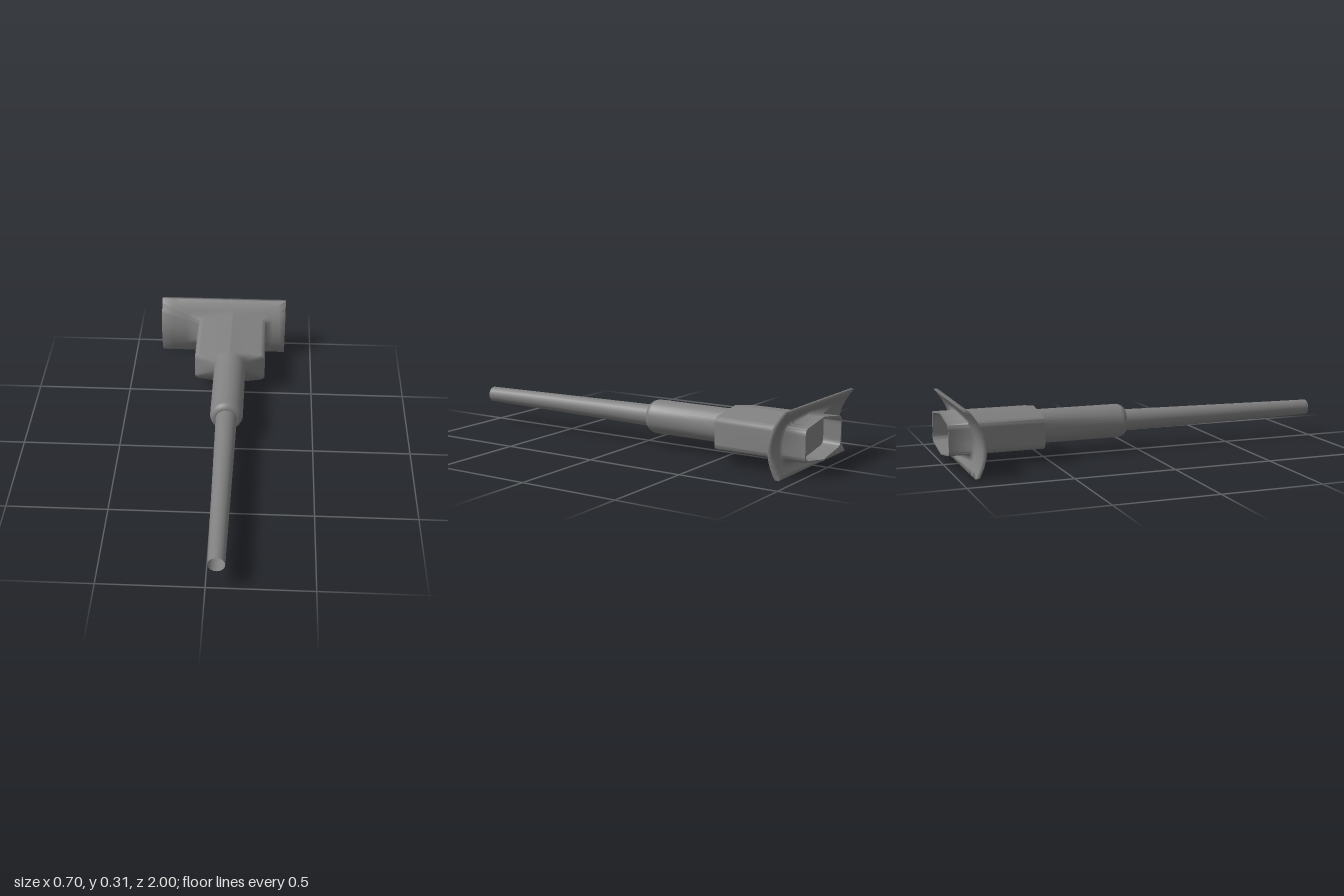
import * as THREE from 'three';

const CX = 0.05, CY = 0.145; // axis of the nozzle
const solid = new THREE.MeshStandardMaterial({ color: 0x808080 });
const thin = new THREE.MeshStandardMaterial({ color: 0x808080, side: THREE.DoubleSide });

// Hexagonal housing outline with softened side corners, relative to the axis
function hexOutline(inset) {
  const w = 0.191 - inset, h = 0.105 - inset, s = 0.079 - inset;
  const quarter = [[w, s - 0.022], [w - 0.007, s - 0.008], [w - 0.021, s]];
  const right = [...quarter.map(([x, y]) => [x, -y]).reverse(), ...quarter];
  const left = right.map(([x, y]) => [-x, -y]);
  return [...right, [0, h], ...left, [0, -h]];
}

const hex = hexOutline(0);
const hexInner = hexOutline(0.008);
const rect = [[0.35 - CX, -CY], [0.35 - CX, 0.315 - CY], [-0.35 - CX, 0.315 - CY], [-0.35 - CX, -CY]];

// Directions shared by every cross-section, including all outline corners
const angles = [...hex, ...rect].map(([x, y]) => Math.atan2(y, x));
for (let i = 0; i < 64; i++) angles.push(-Math.PI + (i + 0.37) * Math.PI / 32);
angles.sort((a, b) => a - b);

// Distance from the axis to an outline in a given direction
function reach(outline, angle) {
  const dx = Math.cos(angle), dy = Math.sin(angle);
  let best = 0;
  outline.forEach(([ax, ay], i) => {
    const [bx, by] = outline[(i + 1) % outline.length];
    const ex = bx - ax, ey = by - ay;
    const det = dx * ey - dy * ex;
    if (Math.abs(det) < 1e-9) return;
    const t = (ax * ey - ay * ex) / det;
    const u = (ax * dy - ay * dx) / det;
    if (t > 0 && u > -1e-6 && u < 1 + 1e-6) best = Math.max(best, t);
  });
  return best;
}

// A ring of points; radius is a function of direction, depth of height
function ring(radius, depth) {
  return angles.map(a => {
    const r = radius(a), y = CY + r * Math.sin(a);
    return [CX + r * Math.cos(a), y, depth(y)];
  });
}
const circle = (r, z) => ring(() => r, () => z);
const section = (outline, z) => ring(a => reach(outline, a), () => z);

// Smooth skin over a sequence of rings
function loft(rings) {
  const n = angles.length, index = [];
  for (let k = 0; k < rings.length - 1; k++) {
    for (let i = 0; i < n; i++) {
      const a = k * n + i, b = k * n + (i + 1) % n;
      index.push(a, a + n, b, b, a + n, b + n);
    }
  }
  const geometry = new THREE.BufferGeometry();
  geometry.setAttribute('position', new THREE.Float32BufferAttribute(rings.flat(2), 3));
  geometry.setIndex(index);
  geometry.computeVertexNormals();
  return geometry;
}

export function createModel() {
  const group = new THREE.Group();
  const add = (name, geometry, material) => {
    const mesh = new THREE.Mesh(geometry, material);
    mesh.name = name;
    group.add(mesh);
  };

  // Slender tapering tube, open at both ends
  const profile = [[0.055, -0.55], [0.055, -0.06], [0.04, 1]].map(([r, z]) => new THREE.Vector2(r, z));
  const tube = new THREE.LatheGeometry(profile, 20);
  tube.rotateX(Math.PI / 2);
  tube.translate(CX, CY, 0);
  add('tube', tube, thin);

  // Sleeve, housing and curved flange flow into each other as one skin
  const front = y => -0.868 - 2.3 * (y - 0.13) ** 2;
  const back = y => front(y) - 0.02;
  const flangeRing = (t, depth) => ring(a => THREE.MathUtils.lerp(reach(hex, a), reach(rect, a), t), depth);
  const steps = [0, 0.35, 0.7, 1];
  add('sleeveHousingAndFlange', loft([
    circle(0.055, -0.06),
    circle(0.069, -0.06),
    circle(0.079, -0.073),
    circle(0.085, -0.09),
    circle(0.085, -0.53),
    section(hex, -0.53),
    ...steps.map(t => flangeRing(t, front)),
    ...steps.reverse().map(t => flangeRing(t, back)),
    section(hex, -1),
  ]), solid);

  // Shallow socket in the back of the housing: rim, walls and floor
  add('socketRim', loft([section(hex, -1), section(hexInner, -1)]), solid);
  add('socketWall', loft([section(hexInner, -1), section(hexInner, -0.91)]), solid);
  add('socketFloor', loft([section(hexInner, -0.91), circle(0, -0.91)]), solid);

  return group;
}
